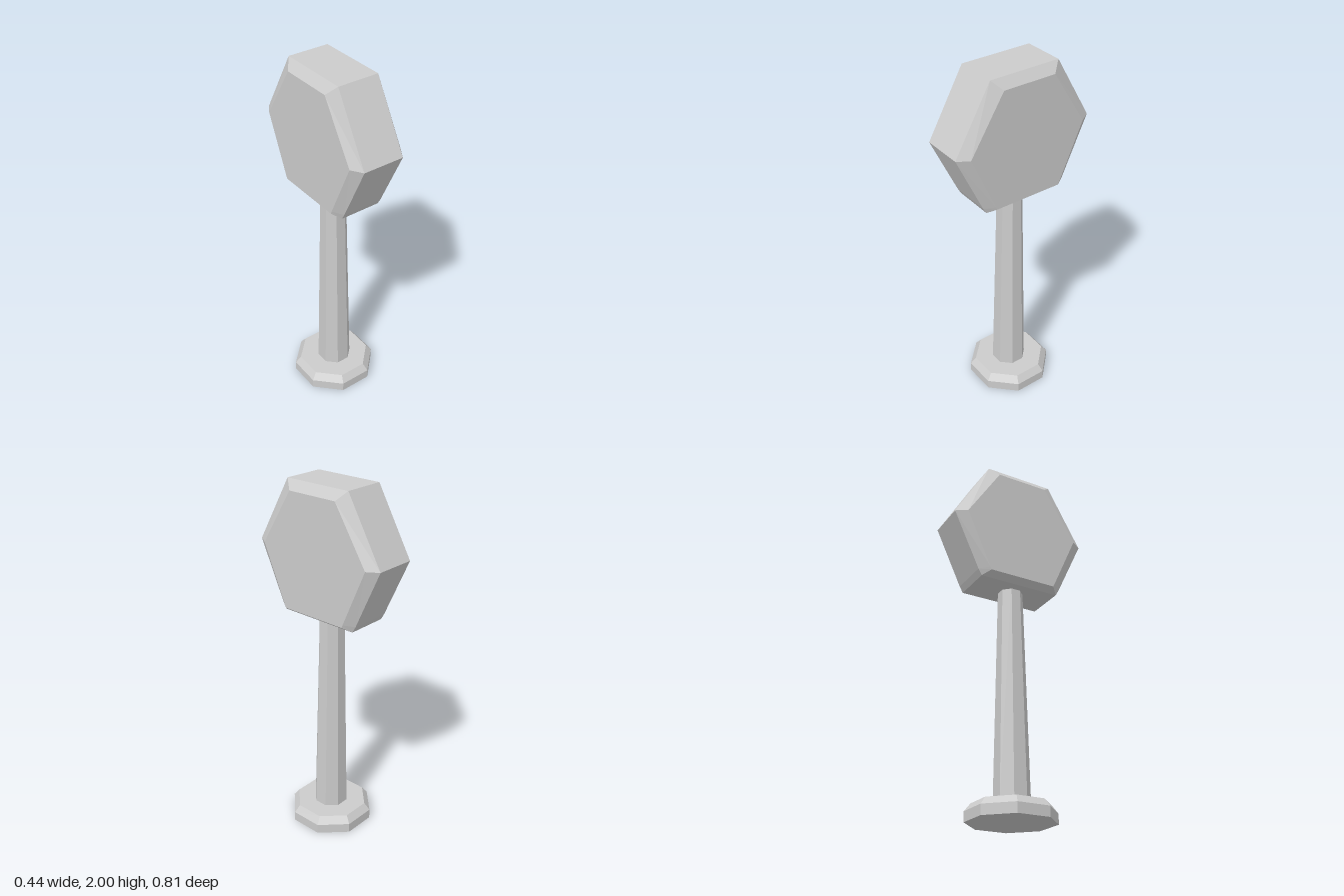
import * as THREE from 'three';

const material = new THREE.MeshStandardMaterial({ color: 0xcccccc, flatShading: true });

// Octagonal frustum sized by the distance from its centre to its flat sides
function octagon(name, top, bottom, y0, y1, z) {
  const k = 1 / Math.cos(Math.PI / 8);
  const geometry = new THREE.CylinderGeometry(top * k, bottom * k, y1 - y0, 8);
  geometry.rotateY(Math.PI / 8);
  const mesh = new THREE.Mesh(geometry, material);
  mesh.name = name;
  mesh.position.set(0, (y0 + y1) / 2, z);
  return mesh;
}

// Loft of equal-length [z, y] outlines placed at given x, closed at both ends
function loft(sections) {
  const n = sections[0].outline.length;
  const positions = [];
  const index = [];
  for (const { x, outline } of sections) {
    for (const [z, y] of outline) positions.push(x, y, z);
  }
  for (let s = 0; s < sections.length - 1; s++) {
    for (let i = 0; i < n; i++) {
      const a = s * n + i;
      const b = s * n + (i + 1) % n;
      index.push(a, b, b + n, a, b + n, a + n);
    }
  }
  const last = (sections.length - 1) * n;
  for (let i = 1; i < n - 1; i++) {
    index.push(0, i + 1, i);
    index.push(last, last + i, last + i + 1);
  }
  const indexed = new THREE.BufferGeometry();
  indexed.setAttribute('position', new THREE.Float32BufferAttribute(positions, 3));
  indexed.setIndex(index);
  const geometry = indexed.toNonIndexed();
  geometry.computeVertexNormals();
  return geometry;
}

// Mirror the front half of an outline; order runs from +z to -z over the top
function mirrored(half) {
  return [...half, ...half.map(([z, y]) => [-z, y]).reverse()].reverse();
}

export function createModel() {
  const model = new THREE.Group();
  model.name = 'signPost';

  // Foot: plinth with a bevelled upper rim
  model.add(octagon('footPlinth', 0.22, 0.22, 0, 0.055, 0.012));
  model.add(octagon('footBevel', 0.19, 0.22, 0.055, 0.095, 0.012));

  // Tapered post, running a little way into the head
  const post = octagon('post', 0.063, 0.09, 0.09, 1.35, 0.01);
  post.geometry.translate(0, 0.63, 0);
  post.position.y = 0.09;
  post.position.z = 0.015;
  post.rotation.x = -0.008;
  model.add(post);

  // Hexagonal head with bevelled faces on both sides
  const rim = mirrored([[0.235, 1.285], [0.255, 1.32], [0.405, 1.645], [0.2, 2]]);
  const face = mirrored([[0.195, 1.312], [0.203, 1.328], [0.343, 1.645], [0.15, 1.95]]);
  const head = new THREE.Mesh(loft([
    { x: -0.155, outline: face },
    { x: -0.115, outline: rim },
    { x: 0.115, outline: rim },
    { x: 0.155, outline: face },
  ]), material);
  head.name = 'head';
  model.add(head);

  return model;
}
